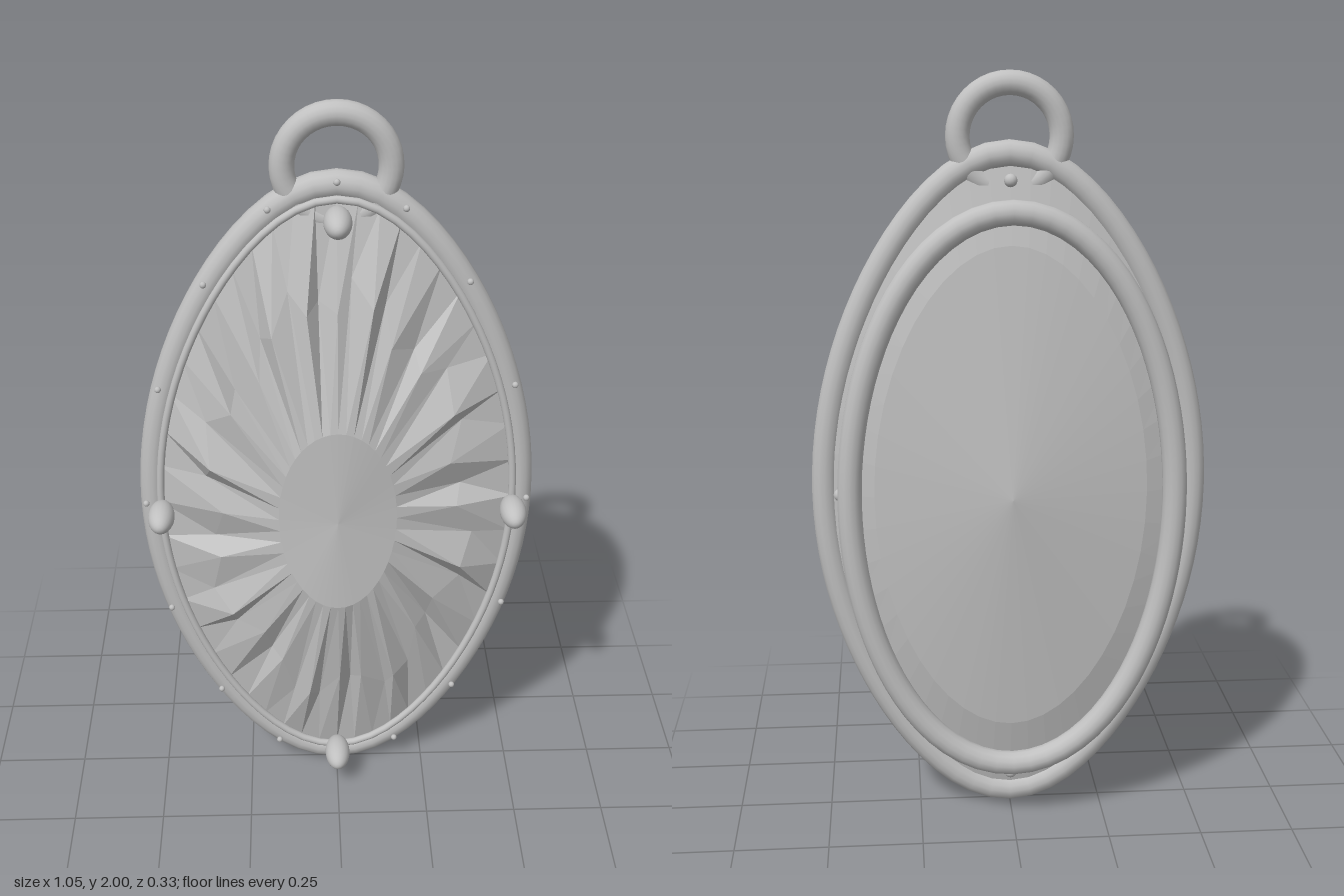
import * as THREE from 'three';

const CY = 0.915; // height of the pendant's centre
const N = 48;

// Point on a pointed oval; t runs clockwise from the top, k pinches the ends
function oval(t, a, b, z, k = 0.16) {
  const c = Math.cos(t);
  return new THREE.Vector3(a * Math.sin(t) * (1 - k * c * c), CY + b * c, z);
}

function loop(fn, n = N) {
  return Array.from({ length: n }, (_, i) => fn((i / n) * Math.PI * 2, i));
}

// Flat-shaded surface from a centre point through widening rings
function facets(centre, rings, back = false) {
  const pos = [];
  const tri = (a, b, c) => {
    for (const p of back ? [a, c, b] : [a, b, c]) pos.push(p.x, p.y, p.z);
  };
  const n = rings[0].length;
  for (let i = 0; i < n; i++) {
    const j = (i + 1) % n;
    tri(centre, rings[0][j], rings[0][i]);
    for (let r = 0; r + 1 < rings.length; r++) {
      const inner = rings[r], outer = rings[r + 1];
      tri(inner[i], outer[j], outer[i]);
      tri(inner[i], inner[j], outer[j]);
    }
  }
  const g = new THREE.BufferGeometry();
  g.setAttribute('position', new THREE.Float32BufferAttribute(pos, 3));
  g.computeVertexNormals();
  return g;
}

function ovalTube(a, b, z, radius, k) {
  const curve = new THREE.CatmullRomCurve3(loop((t) => oval(t, a, b, z, k), 40), true);
  return new THREE.TubeGeometry(curve, 80, radius, 14, true);
}

export function createModel() {
  const group = new THREE.Group();
  const metal = new THREE.MeshStandardMaterial({ color: 0xc0c0c0 });
  metal.name = 'silver grey';
  const add = (name, geometry, position) => {
    const m = new THREE.Mesh(geometry, metal);
    m.name = name;
    if (position) m.position.copy(position);
    group.add(m);
    return m;
  };

  // Cut stone: smooth table, alternating ridges and grooves, thin girdle
  const tableZ = (t) => 0.145 - 0.025 * Math.sin(t) ** 2;
  const table = loop((t) => oval(t, 0.155, 0.27, tableZ(t), 0));
  const cut = loop((t, i) => {
    const ridge = i % 2 === 0;
    const wobble = Math.sin(i * 7.3);
    const s = (ridge ? 0.68 : 0.74) + 0.05 * wobble;
    const z = (ridge ? 0.092 : 0.05) + 0.008 * wobble;
    return oval(t + 0.03 * Math.sin(i * 4.1), 0.475 * s, 0.85 * s, z, 0.11);
  });
  const girdle = loop((t) => oval(t, 0.475, 0.85, 0.015));
  add('stoneFront', facets(new THREE.Vector3(0, CY, 0.145), [table, cut, girdle]));

  // Shallow cone at the back of the stone
  add('stoneBack', facets(new THREE.Vector3(0, CY, -0.135), [
    loop((t) => oval(t, 0.36, 0.655, -0.076, 0.06)),
    loop((t) => oval(t, 0.475, 0.85, -0.03)),
  ], true));

  // Frame
  add('rim', ovalTube(0.49, 0.88, -0.008, 0.035));
  add('innerBezel', ovalTube(0.469, 0.85, 0.024, 0.01));
  add('backRing', ovalTube(0.423, 0.745, -0.133, 0.032, 0));

  // Hanging loop
  add('hangingLoop', new THREE.TorusGeometry(0.132, 0.031, 16, 40),
    new THREE.Vector3(0, 1.837, -0.008));

  // Four prongs, each with a small ball end behind
  const prong = new THREE.SphereGeometry(0.035, 20, 14).rotateX(Math.PI / 2).scale(1, 1, 1.86);
  const ball = new THREE.SphereGeometry(0.017, 14, 10);
  loop((t) => {
    add('prong', prong, oval(t, 0.464, 0.82, 0.096));
    add('prongBackEnd', ball, oval(t, 0.45, 0.815, -0.045));
  }, 4);

  // Tiny beads set around the rim
  const bead = new THREE.SphereGeometry(0.0085, 10, 8);
  loop((t) => add('rimBead', bead, oval(t, 0.508, 0.895, 0.029)), 16);

  return group;
}
